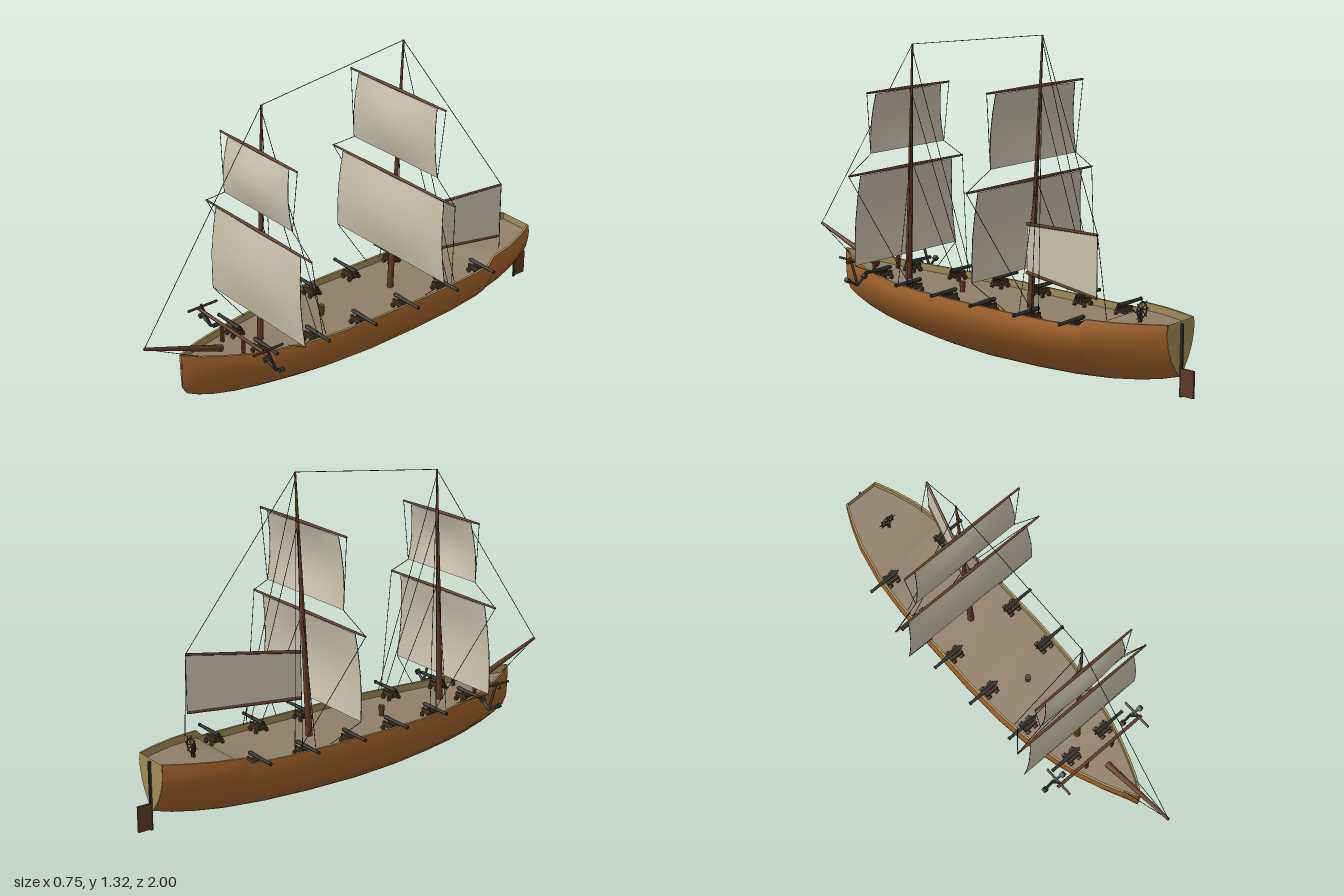
import * as THREE from 'three';

const mat = (name, color, side = THREE.FrontSide) => {
  const m = new THREE.MeshStandardMaterial({ color, side });
  m.name = name;
  return m;
};
const V = (x, y, z) => new THREE.Vector3(x, y, z);
const lerp = THREE.MathUtils.lerp;

// Hull stations: z, greatest half width, keel height, rail height
const STATIONS = [
  [-0.935, 0.085, 0.107, 0.32], [-0.85, 0.125, 0.08, 0.315], [-0.75, 0.162, 0.057, 0.31],
  [-0.63, 0.187, 0.036, 0.305], [-0.6, 0.191, 0.032, 0.276], [-0.45, 0.203, 0.016, 0.272],
  [-0.25, 0.21, 0.005, 0.27], [0, 0.212, 0, 0.27], [0.2, 0.204, 0.008, 0.27],
  [0.35, 0.186, 0.022, 0.27], [0.5, 0.153, 0.04, 0.276], [0.6, 0.122, 0.058, 0.282],
  [0.7, 0.083, 0.085, 0.295], [0.77, 0.05, 0.112, 0.305], [0.82, 0.02, 0.138, 0.312],
  [0.84, 0.006, 0.17, 0.317]];
// Cross-section: height fraction, width fraction
const SECTION = [[0, 0], [0.06, 0.16], [0.15, 0.35], [0.3, 0.61], [0.5, 0.84], [0.7, 0.97], [0.85, 1], [1, 0.96]];
const BULWARK = 0.03;

function station(z) {
  let i = 1;
  while (i < STATIONS.length - 1 && STATIONS[i][0] < z) i++;
  const a = STATIONS[i - 1], b = STATIONS[i], t = (z - a[0]) / (b[0] - a[0]);
  return a.map((n, k) => lerp(n, b[k], t));
}
const railX = z => station(z)[1] * 0.96;
const deckY = z => station(z)[3] - BULWARK;

// Full section from the right rail, under the keel, to the left rail
function section([z, w, k, top]) {
  const left = SECTION.map(([u, f]) => V(w * f, lerp(k, top, u), z));
  const right = left.slice(1).reverse().map(p => V(-p.x, p.y, p.z));
  return [...right, ...left];
}

// Smooth surface through rows of points
function surface(rows) {
  const n = rows[0].length, index = [];
  for (let i = 0; i < rows.length - 1; i++)
    for (let j = 0; j < n - 1; j++) {
      const a = i * n + j, b = a + n;
      index.push(a, a + 1, b, b, a + 1, b + 1);
    }
  const g = new THREE.BufferGeometry().setFromPoints(rows.flat());
  g.setIndex(index);
  g.computeVertexNormals();
  return g;
}

export function createModel() {
  const D = THREE.DoubleSide;
  const hullMat = mat('hull planking', 0xa3622a, D), trim = mat('pale trim', 0xa08b58, D);
  const deckMat = mat('deck', 0x8f7f69, D), canvas = mat('canvas', 0xc9c0aa, D);
  const wood = mat('spar wood', 0x5f3a24), darkWood = mat('dark wood', 0x42301f);
  const iron = mat('iron', 0x2a2e2b), ropeMat = mat('rope', 0x38332e);

  const ship = new THREE.Group();
  ship.name = 'sailingShip';
  const add = (name, geo, m, parent = ship) => {
    const mesh = new THREE.Mesh(geo, m);
    mesh.name = name;
    parent.add(mesh);
    return mesh;
  };
  const group = (name, parent = ship) => {
    const g = new THREE.Group();
    g.name = name;
    parent.add(g);
    return g;
  };
  const box = (name, w, h, d, x, y, z, m, parent) => {
    const b = add(name, new THREE.BoxGeometry(w, h, d), m, parent);
    b.position.set(x, y, z);
    return b;
  };
  // Tapered round bar from a to b
  const rod = (name, a, b, r0, r1, m, parent, sides = 10) => {
    const c = add(name, new THREE.CylinderGeometry(r1, r0, a.distanceTo(b), sides), m, parent);
    c.position.copy(a).lerp(b, 0.5);
    c.quaternion.setFromUnitVectors(V(0, 1, 0), b.clone().sub(a).normalize());
    return c;
  };
  const rigging = group('rigging');
  const rope = (...pts) => pts.slice(1).forEach((p, i) => rod('rope', pts[i], p, 0.0014, 0.0014, ropeMat, rigging, 5));

  // Hull shell, transom and stem
  add('hull', surface(STATIONS.map(section)), hullMat);
  for (const [name, s, off] of [['transom', STATIONS[0], -0.001], ['stem', STATIONS.at(-1), 0.001]]) {
    const shape = new THREE.Shape(section(s).map(p => new THREE.Vector2(p.x, p.y)));
    add(name, new THREE.ShapeGeometry(shape), trim).position.z = s[0] + off;
  }

  // Deck, rail caps and inner bulwarks
  const inner = w => Math.max(w * 0.96 - 0.01, 0.001);
  add('deck', surface(STATIONS.map(([z, w, , t]) =>
    [V(-inner(w), t - BULWARK, z), V(inner(w), t - BULWARK, z)])), deckMat);
  for (const s of [1, -1]) {
    add('railCap', surface(STATIONS.map(([z, w, , t]) =>
      [V(s * w * 0.96, t, z), V(s * inner(w), t, z)])), trim);
    add('innerBulwark', surface(STATIONS.map(([z, w, , t]) =>
      [V(s * inner(w), t, z), V(s * inner(w), t - BULWARK, z)])), trim);
  }

  // Rudder
  box('rudderPost', 0.008, 0.28, 0.01, 0, 0.17, -0.942, iron);
  box('rudder', 0.009, 0.105, 0.056, 0, 0.088, -0.972, wood);

  // Square sail with its yard and edge ropes; returns left yard end and clew
  function squareSail(name, yardY, yardHalf, z, topHalf, bottomY, bottomHalf) {
    const g = group(name), rows = [];
    for (let i = 0; i <= 12; i++) {
      const v = i / 12, half = lerp(topHalf, bottomHalf, v), row = [];
      for (let j = 0; j <= 12; j++) {
        const s = j / 6 - 1;
        const belly = Math.sin(Math.PI * v) * (0.012 + 0.018 * Math.cos(s * Math.PI / 2));
        row.push(V(s * half, lerp(yardY - 0.007, bottomY, v), z + 0.008 * v + belly));
      }
      rows.push(row);
    }
    add('sail', surface(rows), canvas, g);
    for (const s of [1, -1]) {
      rod('yard', V(0, yardY, z), V(s * yardHalf, yardY, z), 0.007, 0.004, wood, g);
      rope(...rows.filter((r, i) => i % 3 === 0).map(r => r[s > 0 ? 12 : 0]));
    }
    return { end: V(yardHalf, yardY, z), clew: rows[12][12] };
  }

  // Masts with shrouds, stays and running ropes
  const flip = p => V(-p.x, p.y, p.z);
  function mast(name, foot, head, lower, upper) {
    rod(name, foot, head, 0.014, 0.004, wood, ship, 14);
    const lo = squareSail(name + 'LowerSail', ...lower);
    const up = squareSail(name + 'UpperSail', ...upper);
    const at = y => foot.clone().lerp(head, (y - foot.y) / (head.y - foot.y));
    const rail = z => V(railX(z) - 0.015, station(z)[3], z);
    for (const m of [p => p, flip]) {
      rope(m(up.end), m(up.clew), m(lo.end));
      rope(m(lo.end), m(rail(foot.z - 0.18)));
      rope(m(lo.clew), m(rail(foot.z - 0.03)));
      for (const [y, dz] of [[head.y - 0.02, -0.195], [head.y - 0.2, -0.16], [0.76, -0.1]])
        rope(at(y), m(rail(foot.z + dz)));
    }
  }
  const foreHead = V(0, 1.235, 0.43), mainHead = V(0, 1.32, -0.265);
  mast('foremast', V(0, 0.235, 0.465), foreHead,
    [0.727, 0.335, 0.465, 0.27, 0.35, 0.3], [1.055, 0.24, 0.452, 0.19, 0.805, 0.215]);
  mast('mainmast', V(0, 0.235, -0.21), mainHead,
    [0.755, 0.375, -0.213, 0.31, 0.4, 0.335], [1.122, 0.285, -0.235, 0.235, 0.83, 0.255]);

  // Bowsprit and stays
  const tip = V(0, 0.405, 0.998);
  rod('bowsprit', V(0, 0.275, 0.65), tip, 0.014, 0.006, wood);
  for (const s of [1, -1]) rope(tip, V(s * 0.035, 0.305, 0.78));

  // Fore-and-aft sail on the mainmast, swung to the left
  const throat = V(0.035, 0.585, -0.222), peak = V(0.165, 0.63, -0.672);
  const tack = V(0.035, 0.39, -0.222), sheet = V(0.165, 0.39, -0.672);
  const aft = group('aftSail');
  add('sail', surface([[throat, peak], [tack, sheet]]), canvas, aft);
  rod('gaff', throat, peak, 0.007, 0.005, wood, aft);
  rod('boom', tack, sheet, 0.007, 0.005, wood, aft);
  rope(tip, foreHead, mainHead, peak, V(0.14, 0.31, -0.7));
  rope(peak, sheet);

  // Six guns on each side: carriage centre x, z
  const GUNS = [[0.145, -0.565], [0.155, -0.35], [0.16, -0.13], [0.152, 0.085], [0.13, 0.305], [0.086, 0.525]];
  for (const s of [1, -1])
    for (const [x, z] of GUNS) {
      const g = group('cannon');
      g.position.set(s * x, deckY(z), z);
      g.scale.x = s;
      for (const k of [1, -1]) {
        box('carriageCheek', 0.062, 0.022, 0.009, 0, 0.023, k * 0.014, darkWood, g);
        for (const wx of [-0.02, 0.02])
          rod('wheel', V(wx, 0.01, k * 0.021), V(wx, 0.01, k * 0.029), 0.01, 0.01, darkWood, g);
      }
      box('carriageBed', 0.06, 0.008, 0.028, 0, 0.016, 0, darkWood, g);
      rod('barrel', V(-0.035, 0.044, 0), V(0.107, 0.044, 0), 0.0095, 0.006, iron, g);
      rod('muzzleRing', V(0.1, 0.044, 0), V(0.108, 0.044, 0), 0.0075, 0.0075, iron, g);
      rod('breechKnob', V(-0.044, 0.044, 0), V(-0.035, 0.044, 0), 0.004, 0.004, iron, g, 8);
    }

  // Anchor beam on posts, with an anchor at each end
  rod('anchorBeam', V(-0.23, 0.33, 0.597), V(0.23, 0.33, 0.597), 0.007, 0.007, wood);
  for (const s of [1, -1]) {
    box('beamPost', 0.012, 0.085, 0.012, s * 0.07, 0.29, 0.597, wood);
    const a = group('anchor'), crown = V(s * 0.215, 0.24, 0.55);
    rod('stock', V(s * 0.215, 0.342, 0.515), V(s * 0.215, 0.342, 0.655), 0.005, 0.005, darkWood, a);
    rod('shank', V(s * 0.215, 0.352, 0.593), crown, 0.005, 0.006, iron, a);
    for (const k of [1, -1]) {
      const end = V(s * 0.215 + k * 0.048, 0.268, 0.56);
      rod('arm', crown, end, 0.006, 0.005, iron, a);
      box('fluke', 0.018, 0.016, 0.02, end.x, end.y, end.z, iron, a).rotation.z = k * 0.7;
    }
  }

  // Capstan
  rod('capstan', V(0, deckY(0.155), 0.155), V(0, 0.283, 0.155), 0.01, 0.013, wood);

  // Steering wheel
  const helm = group('steeringWheel');
  helm.position.set(0, 0.328, -0.757);
  add('rim', new THREE.TorusGeometry(0.03, 0.003, 6, 24), darkWood, helm);
  for (let i = 0; i < 4; i++) {
    const c = Math.cos(i * Math.PI / 4) * 0.043, n = Math.sin(i * Math.PI / 4) * 0.043;
    rod('spoke', V(-c, -n, 0), V(c, n, 0), 0.002, 0.002, darkWood, helm, 6);
  }
  box('helmPost', 0.01, 0.055, 0.01, 0, -0.025, 0.008, darkWood, helm);

  return ship;
}
